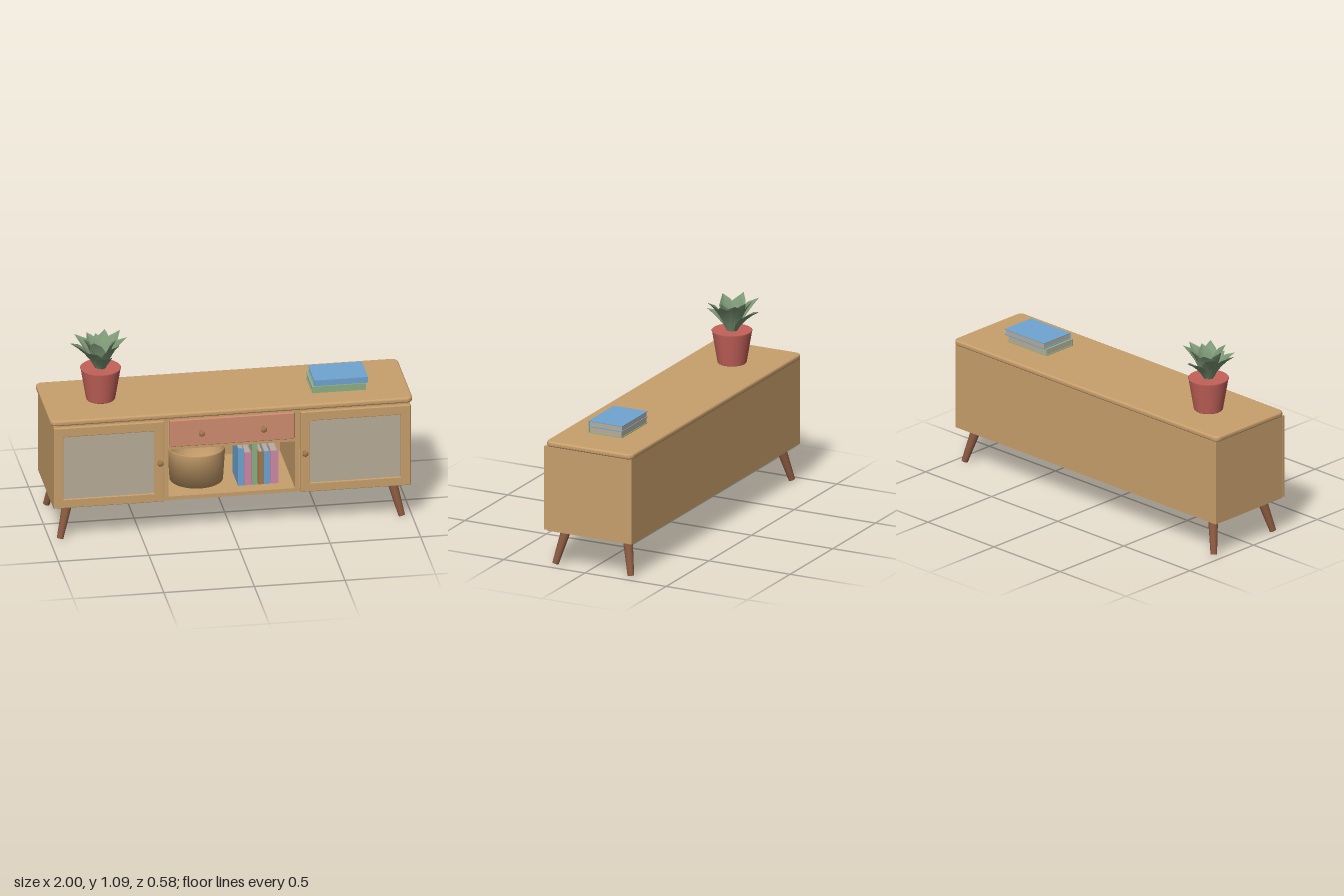
import * as THREE from 'three';
import { RoundedBoxGeometry } from 'three/addons/geometries/RoundedBoxGeometry.js';

const mat = (name, color, side = THREE.FrontSide) => {
  const m = new THREE.MeshStandardMaterial({ color, side });
  m.name = name;
  return m;
};

export function createModel() {
  const wood = mat('oak', 0xc89f6c, THREE.DoubleSide);
  const linen = mat('linen', 0xb9ad9a);
  const coral = mat('coral', 0xcf8c70);
  const walnut = mat('walnut', 0x8a5a40);
  const bronze = mat('bronze', 0xa57c4c);
  const clay = mat('terracotta', 0xc4625a);
  const leafGreen = mat('leafGreen', 0x7f9a78, THREE.DoubleSide);
  const blue = mat('blueCover', 0x6fa5d2);
  const pink = mat('pinkCover', 0xcf8aa8);
  const sage = mat('sageCover', 0x8fb084);

  const model = new THREE.Group();
  model.name = 'mediaConsole';
  const add = (name, geo, material, parent = model) => {
    const m = new THREE.Mesh(geo, material);
    m.name = name;
    parent.add(m);
    return m;
  };
  // Box given by its min and max on each axis, optionally rounded
  const box = (name, [x0, x1], [y0, y1], [z0, z1], material, parent = model, round = 0) => {
    const s = [x1 - x0, y1 - y0, z1 - z0];
    const geo = round ? new RoundedBoxGeometry(...s, 2, round) : new THREE.BoxGeometry(...s);
    const m = add(name, geo, material, parent);
    m.position.set((x0 + x1) / 2, (y0 + y1) / 2, (z0 + z1) / 2);
    return m;
  };

  // Table top: rounded corners and softened edge
  const w = 1, d = 0.267, r = 0.035;
  const top = new THREE.Shape();
  top.moveTo(-w + r, -d);
  top.lineTo(w - r, -d).absarc(w - r, -d + r, r, -Math.PI / 2, 0);
  top.lineTo(w, d - r).absarc(w - r, d - r, r, 0, Math.PI / 2);
  top.lineTo(-w + r, d).absarc(-w + r, d - r, r, Math.PI / 2, Math.PI);
  top.lineTo(-w, -d + r).absarc(-w + r, -d + r, r, Math.PI, Math.PI * 1.5);
  const topGeo = new THREE.ExtrudeGeometry(top, {
    depth: 0.009, bevelThickness: 0.011, bevelSize: 0.011, bevelOffset: -0.011, bevelSegments: 4, curveSegments: 6,
  });
  topGeo.rotateX(-Math.PI / 2);
  add('tableTop', topGeo, wood).position.set(0, 0.698, -0.021);

  // Cabinet carcass
  const zBody = [-0.28, 0.24];
  box('cabinetBase', [-0.985, 0.985], [0.2, 0.222], zBody, wood);
  box('cabinetCeiling', [-0.985, 0.985], [0.667, 0.688], zBody, wood);
  box('backPanel', [-0.985, 0.985], [0.2, 0.688], [-0.28, -0.262], wood);
  box('drawerShelf', [-0.35, 0.35], [0.502, 0.52], zBody, wood);
  for (const s of [-1, 1]) {
    box('sidePanel', [s * 0.974 - 0.011, s * 0.974 + 0.011], [0.2, 0.688], zBody, wood);
    box('divider', [s * 0.361 - 0.012, s * 0.361 + 0.012], [0.2, 0.688], zBody, wood);
  }

  // Round knob pointing to the front
  const knobProfile = [[0, 0], [0.011, 0], [0.007, 0.006], [0.007, 0.013], [0.016, 0.018], [0.017, 0.023], [0.011, 0.028], [0, 0.029]]
    .map(([x, y]) => new THREE.Vector2(x, y));
  const knobGeo = new THREE.LatheGeometry(knobProfile, 20).rotateX(Math.PI / 2);
  const knob = (x, y) => add('knob', knobGeo, bronze).position.set(x, y, 0.261);

  // Framed doors with fabric panels
  const frame = new THREE.Shape([[0.377, 0.204], [0.985, 0.204], [0.985, 0.682], [0.377, 0.682]]
    .map(([x, y]) => new THREE.Vector2(x, y)));
  frame.holes.push(new THREE.Path([[0.43, 0.256], [0.43, 0.627], [0.93, 0.627], [0.93, 0.256]]
    .map(([x, y]) => new THREE.Vector2(x, y))));
  const frameGeo = new THREE.ExtrudeGeometry(frame, {
    depth: 0.014, bevelThickness: 0.004, bevelSize: 0.004, bevelOffset: -0.004, bevelSegments: 2,
  });
  frameGeo.translate(-0.681, 0, 0.244);
  for (const s of [-1, 1]) {
    const door = new THREE.Group();
    door.name = s > 0 ? 'leftDoor' : 'rightDoor';
    door.position.x = s * 0.681;
    model.add(door);
    add('doorFrame', frameGeo, wood, door);
    box('doorPanel', [-0.26, 0.26], [0.245, 0.64], [0.243, 0.253], linen, door);
    knob(s * 0.4, 0.442);
    knob(s * 0.171, 0.604);
  }

  // Drawer
  box('drawerFront', [-0.346, 0.342], [0.526, 0.682], [0.24, 0.262], coral, model, 0.004);

  // Splayed tapered legs
  const up = new THREE.Vector3(0, 1, 0);
  for (const sx of [-1, 1]) for (const sz of [-1, 1]) {
    const a = new THREE.Vector3(sx * 0.943, 0.004, -0.021 + sz * 0.232);
    const b = new THREE.Vector3(sx * 0.893, 0.205, -0.021 + sz * 0.186);
    const dir = b.clone().sub(a);
    const leg = add('leg', new THREE.CylinderGeometry(0.028, 0.018, dir.length(), 20), walnut);
    leg.position.copy(a).add(b).multiplyScalar(0.5);
    leg.quaternion.setFromUnitVectors(up, dir.normalize());
  }

  // Open basket in the niche
  const basketProfile = [[0, 0.224], [0.146, 0.224], [0.158, 0.412], [0.154, 0.418], [0.148, 0.412], [0.137, 0.234], [0, 0.234]]
    .map(([x, y]) => new THREE.Vector2(x, y));
  add('basket', new THREE.LatheGeometry(basketProfile, 40), wood).position.set(-0.16, 0, 0.02);

  // Upright books: spine at the front, covers either side, recessed pages
  const shelfBooks = [
    [0.048, 0.08, 0.444, blue], [0.083, 0.122, 0.417, pink], [0.125, 0.156, 0.472, sage],
    [0.16, 0.187, 0.417, bronze], [0.19, 0.224, 0.417, blue], [0.228, 0.27, 0.417, pink],
  ];
  for (const [x0, x1, h, cover] of shelfBooks) {
    const book = new THREE.Group();
    book.name = 'shelfBook';
    model.add(book);
    box('spine', [x0, x1], [0.222, h], [0.155, 0.16], cover, book);
    box('cover', [x0, x0 + 0.004], [0.222, h], [-0.02, 0.155], cover, book);
    box('cover', [x1 - 0.004, x1], [0.222, h], [-0.02, 0.155], cover, book);
    box('pages', [x0 + 0.004, x1 - 0.004], [0.226, h - 0.005], [-0.015, 0.155], linen, book);
  }

  // Books lying on the top
  const flatBooks = [
    [0.466, 0.764, 0.718, 0.756, -0.105, 0.101, sage],
    [0.479, 0.776, 0.757, 0.791, -0.112, 0.096, blue],
  ];
  for (const [x0, x1, y0, y1, z0, z1, cover] of flatBooks) {
    const book = new THREE.Group();
    book.name = 'flatBook';
    model.add(book);
    box('spine', [x0, x1], [y0, y1], [z1 - 0.005, z1], cover, book);
    box('cover', [x0, x1], [y0, y0 + 0.004], [z0, z1 - 0.005], cover, book);
    box('cover', [x0, x1], [y1 - 0.004, y1], [z0, z1 - 0.005], cover, book);
    box('pages', [x0 + 0.005, x1 - 0.005], [y0 + 0.004, y1 - 0.004], [z0 + 0.005, z1 - 0.005], linen, book);
  }

  // Plant pot
  const plant = new THREE.Group();
  plant.name = 'pottedPlant';
  plant.position.set(-0.681, 0.718, -0.023);
  model.add(plant);
  const potProfile = [[0, 0], [0.077, 0], [0.08, 0.004], [0.109, 0.178], [0.112, 0.184], [0.109, 0.187], [0.1, 0.185], [0, 0.182]]
    .map(([x, y]) => new THREE.Vector2(x, y));
  add('pot', new THREE.LatheGeometry(potProfile, 32), clay, plant);

  // Pointed leaf curving outward, folded along its midrib
  const leafGeo = (reach, height, half) => {
    const pos = [], idx = [];
    const widths = [0.45, 0.85, 1, 0.72, 0];
    widths.forEach((k, i) => {
      const t = i / 4;
      const x = 0.03 + (reach - 0.03) * (0.65 * t + 0.35 * t * t);
      const y = height * (1.2 * t - 0.2 * t * t);
      for (const s of [-1, 0, 1]) pos.push(x - Math.abs(s) * k * 0.016, y + Math.abs(s) * k * 0.012, s * k * half);
      if (i < 4) for (const j of [0, 1]) {
        const a = i * 3 + j;
        idx.push(a, a + 1, a + 3, a + 1, a + 4, a + 3);
      }
    });
    const g = new THREE.BufferGeometry();
    g.setAttribute('position', new THREE.Float32BufferAttribute(pos, 3));
    g.setIndex(idx);
    g.computeVertexNormals();
    return g;
  };
  // Leaf tips: x, z from the pot axis, height over the soil
  const tips = [
    [-0.174, 0.02, 0.165], [0.147, 0, 0.17], [0, -0.168, 0.13], [0.02, 0.145, 0.11],
    [-0.13, -0.1, 0.165], [0.12, -0.08, 0.18], [-0.09, 0.115, 0.14], [0.085, 0.105, 0.165],
    [-0.05, 0.085, 0.185], [0.08, 0.03, 0.17], [0.04, -0.105, 0.18], [-0.06, -0.1, 0.17], [-0.095, 0, 0.175],
  ];
  for (const [x, z, h] of tips) {
    const leaf = add('leaf', leafGeo(Math.hypot(x, z), h, 0.046), leafGreen, plant);
    leaf.position.y = 0.184;
    leaf.rotation.y = Math.atan2(-z, x);
  }
  return model;
}
